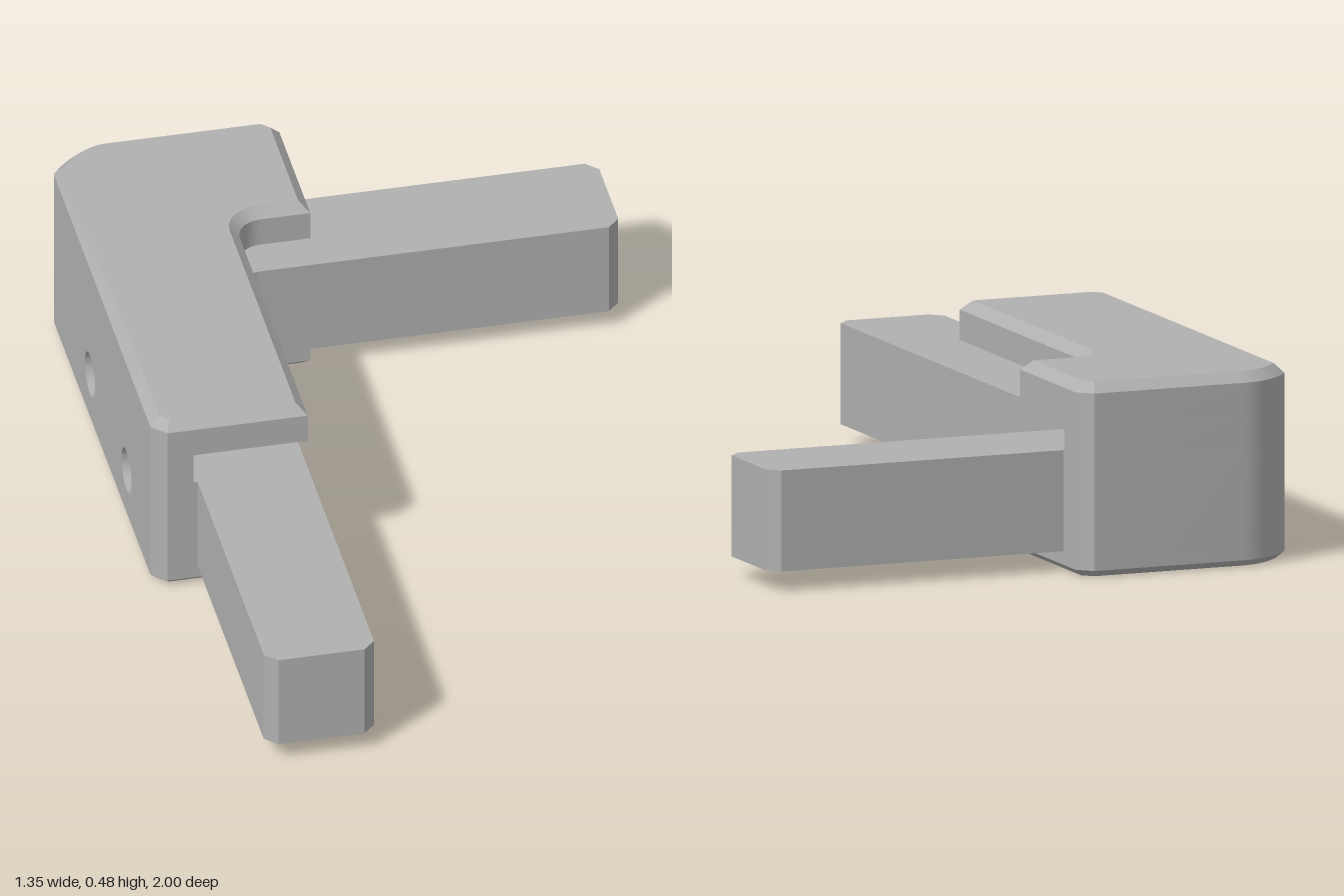
import * as THREE from 'three';
import { toCreasedNormals } from 'three/addons/utils/BufferGeometryUtils.js';

// Vertical loft between two matching plan outlines ([x, z], counter-clockwise from above)
function loft(lower, upper, y0, y1) {
  const pos = [];
  const lo = lower.map(([x, z]) => [x, y0, z]);
  const hi = upper.map(([x, z]) => [x, y1, z]);
  const n = lo.length;
  for (let i = 0; i < n; i++) {
    const j = (i + 1) % n;
    pos.push(...lo[i], ...lo[j], ...hi[j], ...lo[i], ...hi[j], ...hi[i]);
  }
  const flat = lower.map(([x, z]) => new THREE.Vector2(x, -z));
  for (const [a, b, c] of THREE.ShapeUtils.triangulateShape(flat, [])) {
    pos.push(...hi[a], ...hi[b], ...hi[c], ...lo[a], ...lo[c], ...lo[b]);
  }
  const geometry = new THREE.BufferGeometry();
  geometry.setAttribute('position', new THREE.Float32BufferAttribute(pos, 3));
  return toCreasedNormals(geometry, 0.5);
}

// Mitred inset of a plan outline
function inset(points, d) {
  const n = points.length;
  const normal = (a, b) => {
    const dx = b[0] - a[0], dz = b[1] - a[1], l = Math.hypot(dx, dz);
    return [dz / l, -dx / l];
  };
  return points.map((p, i) => {
    const a = normal(points[(i + n - 1) % n], p);
    const b = normal(p, points[(i + 1) % n]);
    const k = d / (1 + a[0] * b[0] + a[1] * b[1]);
    return [p[0] + (a[0] + b[0]) * k, p[1] + (a[1] + b[1]) * k];
  });
}

function curve(a, c, b, segments) {
  return new THREE.QuadraticBezierCurve(new THREE.Vector2(...a), new THREE.Vector2(...c), new THREE.Vector2(...b))
    .getPoints(segments).map((p) => [p.x, p.y]);
}

export function createModel() {
  const grey = new THREE.MeshStandardMaterial({ color: 0xb0b0b0 });
  grey.name = 'grey';
  const model = new THREE.Group();
  model.name = 'cornerClamp';
  const housing = new THREE.Group();
  housing.name = 'housing';
  model.add(housing);
  const add = (name, geometry, parent = housing) => {
    const mesh = new THREE.Mesh(geometry, grey);
    mesh.name = name;
    parent.add(mesh);
    return mesh;
  };

  // Shared plan curves: concave inner fillet and rounded outer corner
  const fillet = [];
  for (let i = 0; i <= 10; i++) {
    const a = (i / 10) * Math.PI / 2;
    fillet.push([-0.225 - 0.065 * Math.cos(a), -0.55 - 0.065 * Math.sin(a)]);
  }
  const corner = curve([-0.53, -1], [-0.605, -1], [-0.675, -0.91], 10);
  const backEdge = [[-0.1, -0.965], [-0.135, -1], ...corner];
  const outline = [[-0.64, 0.22], [-0.29, 0.22], ...fillet, [-0.1, -0.615], ...backEdge, [-0.675, 0.185]];

  // Solid floor and roof with chamfered rims
  add('floorChamfer', loft(inset(outline, 0.018), outline, 0, 0.016));
  add('floor', loft(outline, outline, 0.016, 0.05));
  add('roof', loft(outline, outline, 0.38, 0.455));
  add('roofChamfer', loft(outline, inset(outline, 0.025), 0.455, 0.48));

  // Wall behind the open slot above the bar
  const slot = [[-0.64, 0.22], [-0.575, 0.22], [-0.575, -0.895], [-0.1, -0.895], ...backEdge, [-0.675, 0.185]];
  add('upperWall', loft(slot, slot, 0.3, 0.38));

  // Wall around the bar: back, front end and long side with two screw holes
  const s = -0.565;
  const back = [[s, -0.91], [s, -0.89], [-0.1, -0.89], ...backEdge];
  add('backWall', loft(back, back, 0.05, 0.3));
  const end = [[-0.675, 0.185], [-0.64, 0.22], [s, 0.22], [s, 0.185]];
  add('wallEnd', loft(end, end, 0.05, 0.3));

  const side = new THREE.Shape();
  side.moveTo(-0.91, 0.05).lineTo(0.185, 0.05).lineTo(0.185, 0.3).lineTo(-0.91, 0.3).closePath();
  for (const z of [-0.5, -0.085]) {
    side.holes.push(new THREE.Path().absarc(z, 0.14, 0.057, 0, Math.PI * 2, true));
  }
  const sideGeometry = new THREE.ExtrudeGeometry(side, { depth: 0.11, bevelEnabled: false, curveSegments: 32 });
  sideGeometry.rotateY(-Math.PI / 2);
  add('sideWall', toCreasedNormals(sideGeometry, 0.5)).position.x = s;

  // L-shaped bar with chamfered ends
  const bar = [
    [s, 0.97], [s + 0.03, 1], [-0.32, 1], [-0.29, 0.97], ...fillet,
    [0.645, -0.615], [0.675, -0.645], [0.675, -0.86], [0.645, -0.89], [s, -0.89],
  ];
  add('angleBar', loft(bar, bar, 0.05, 0.3), model);
  return model;
}
